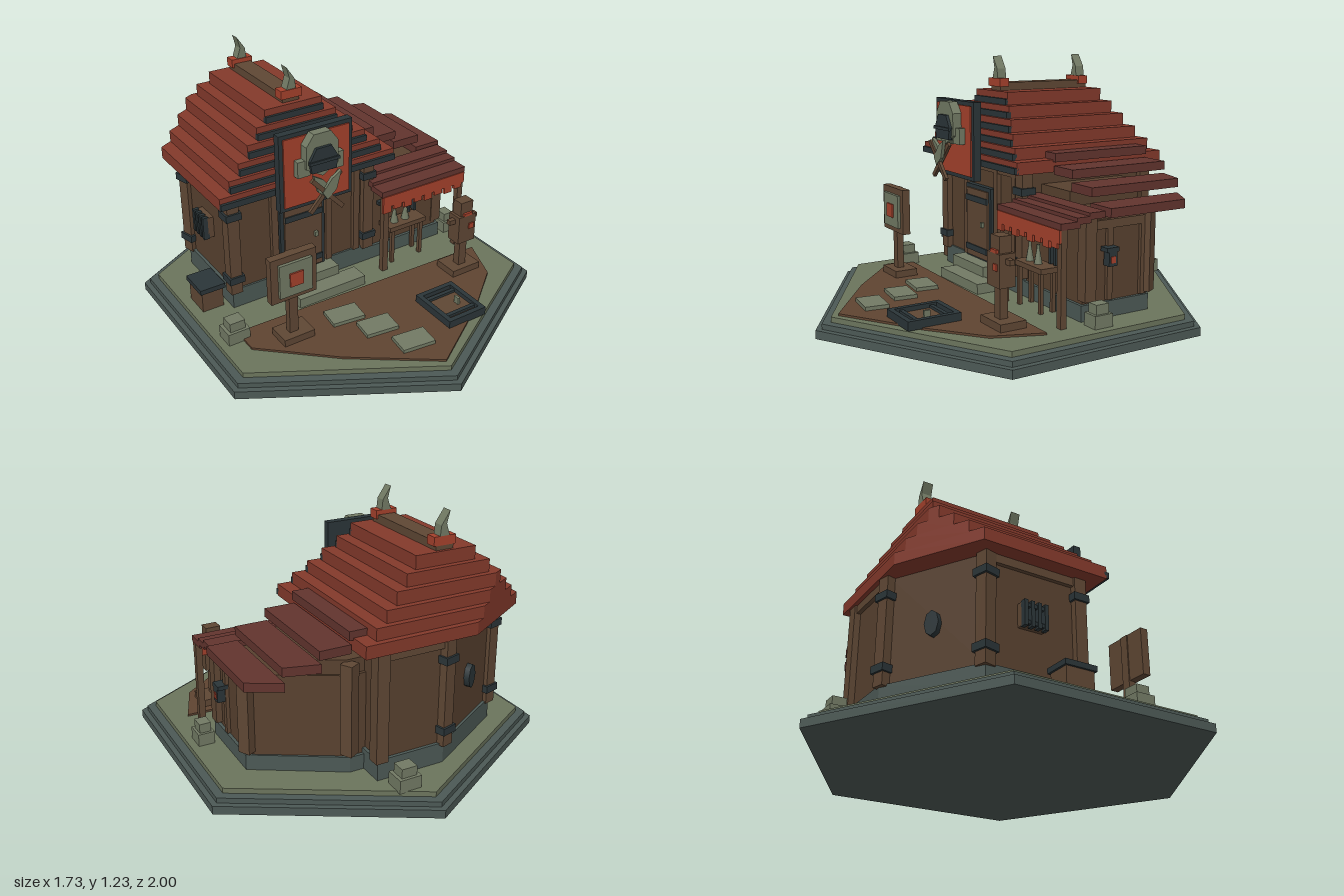
import * as THREE from 'three';

const mat = (name, color) => { const m = new THREE.MeshStandardMaterial({ color }); m.name = name; return m; };

export function createModel() {
  const root = new THREE.Group();
  const slate = mat('slate', 0x4c5955), ground = mat('mossyGround', 0x6b745c), stone = mat('paleStone', 0x727a64);
  const dark = mat('darkIron', 0x2b3538), wood = mat('timber', 0x5f4734), dirt = mat('dirt', 0x5f4431);
  const roofRed = mat('roofRed', 0x83392b), sideRed = mat('sideRoofRed', 0x62342e);
  const red = mat('bannerRed', 0xa5412c), plank = mat('wallPlank', 0x58412f);

  const add = (name, geo, m, parent = root) => {
    const mesh = new THREE.Mesh(geo, m);
    mesh.name = name;
    parent.add(mesh);
    return mesh;
  };
  // Box given by its minimum and maximum on each axis
  const box = (name, m, x0, x1, y0, y1, z0, z1, parent) => {
    const mesh = add(name, new THREE.BoxGeometry(x1 - x0, y1 - y0, z1 - z0), m, parent);
    mesh.position.set((x0 + x1) / 2, (y0 + y1) / 2, (z0 + z1) / 2);
    return mesh;
  };
  const shape = pts => new THREE.Shape(pts.map(p => new THREE.Vector2(p[0], p[1])));
  // Upright prism over a floor plan of [x, z] points
  const slab = (name, m, pts, y0, y1) => {
    const g = new THREE.ExtrudeGeometry(shape(pts.map(([x, z]) => [x, -z])), { depth: y1 - y0, bevelEnabled: false });
    return add(name, g.rotateX(-Math.PI / 2).translate(0, y0, 0), m);
  };
  // Flat plate facing the front
  const plate = (name, m, pts, z0, z1) => {
    const g = new THREE.ExtrudeGeometry(shape(pts), { depth: z1 - z0, bevelEnabled: false });
    return add(name, g.translate(0, 0, z0), m);
  };
  const hex = r => [0, 1, 2, 3, 4, 5].map(i => [r * Math.sin(i * Math.PI / 3), r * Math.cos(i * Math.PI / 3)]);
  // Rectangle with its back left corner cut along a hexagon side
  const cutPlan = (x0, x1, z0, z1, r) => {
    const k = Math.tan(Math.PI / 6), cz = -(r + x0 * k), cx = (-z0 - r) / k;
    return cz > z0 ? [[x0, z1], [x0, cz], [Math.min(cx, x1), z0], [x1, z0], [x1, z1]]
      : [[x0, z1], [x0, z0], [x1, z0], [x1, z1]];
  };

  // Stepped hexagonal base and dirt yard
  slab('baseBottom', slate, hex(1), 0, 0.04);
  slab('baseMiddle', slate, hex(0.97), 0.04, 0.065);
  slab('baseTop', ground, hex(0.925), 0.065, 0.09);
  slab('dirtYard', dirt, [[-0.69, 0.2], [-0.69, 0.34], [-0.38, 0.62], [0, 0.89], [0.38, 0.65], [0.62, 0.46], [0.71, 0.23]], 0.09, 0.1);

  // House walls on stone foundations
  slab('houseFoundation', slate, cutPlan(-0.61, 0.18, -0.73, 0.01, 0.825), 0.09, 0.19);
  slab('houseWalls', plank, cutPlan(-0.595, 0.165, -0.715, 0, 0.81), 0.19, 0.72);
  const wing = o => [[0.16, o], [0.64 + o, o], [0.64 + o, -0.37], [0.25, -0.6 - o], [0.16, -0.6 - o]];
  slab('wingFoundation', slate, wing(0.01), 0.09, 0.165);
  slab('wingWalls', plank, wing(-0.005), 0.165, 0.56);
  slab('wingUpperWall', plank, [[0.16, -0.1], [0.4, -0.1], [0.4, -0.5], [0.25, -0.58], [0.16, -0.58]], 0.55, 0.63);

  // Corner posts with iron bands
  const post = (x, z, ry, y1, banded) => {
    const g = new THREE.Group();
    g.name = 'cornerPost';
    g.position.set(x, 0, z);
    g.rotation.y = ry;
    box('postTimber', wood, -0.03, 0.03, 0.18, y1, -0.03, 0.03, g);
    if (banded) for (const y of [0.26, 0.605]) box('postBand', dark, -0.04, 0.04, y - 0.018, y + 0.018, -0.04, 0.04, g);
    root.add(g);
  };
  post(-0.595, 0, 0, 0.71, true);
  post(0.165, 0, 0, 0.71, true);
  post(-0.595, -0.465, 0.26, 0.71, true);
  post(-0.17, -0.715, 0.26, 0.71, true);
  post(0.165, -0.715, 0, 0.71, false);
  post(0.635, -0.03, 0, 0.56, false);
  post(0.635, -0.365, 0.5, 0.56, false);
  post(0.25, -0.6, 0.5, 0.62, false);
  // Wall beams under the eaves and slim uprights
  box('frontBeam', wood, -0.6, 0.17, 0.66, 0.7, -0.01, 0.02);
  box('leftBeam', wood, -0.615, -0.59, 0.66, 0.7, -0.46, 0);
  box('backBeam', wood, -0.17, 0.165, 0.66, 0.7, -0.735, -0.71);
  for (const x of [-0.39, -0.085, 0.08]) box('wallUpright', wood, x, x + 0.035, 0.19, 0.68, -0.01, 0.022);
  box('sideFrameTop', wood, 0.63, 0.652, 0.5, 0.54, -0.36, -0.03);
  for (const z of [-0.35, -0.16]) box('sideUpright', wood, 0.63, 0.652, 0.17, 0.54, z, z + 0.03);

  // Main roof of shrinking tiers, each with a dark front trim
  const half = [0.475, 0.41, 0.345, 0.28, 0.215, 0.155], tops = [0.76, 0.817, 0.875, 0.937, 0.997, 1.06];
  half.forEach((h, i) => {
    const front = 0.1 - i * 0.029, y1 = tops[i], y0 = i ? tops[i - 1] - 0.004 : 0.7;
    slab('roofTier', roofRed, cutPlan(-0.215 - h, -0.215 + h, -0.755 + i * 0.028, front, 0.93), y0, y1);
    box('roofTrim', dark, -0.215 - h, -0.215 + h, y0 + 0.004, y0 + 0.034, front - 0.01, front + 0.014);
  });
  box('roofRidge', wood, -0.26, -0.17, 1.055, 1.1, -0.6, -0.07);
  for (const z of [-0.6, -0.115]) {
    box('ridgeCap', red, -0.272, -0.16, 1.08, 1.122, z, z + 0.055);
    plate('ridgeHorn', stone, [[-0.24, 1.12], [-0.19, 1.12], [-0.195, 1.17], [-0.237, 1.232], [-0.222, 1.175]], z, z + 0.05);
  }

  // Overlapping planks of the wing roof
  [[0.12, 0.28, 0.75], [0.27, 0.42, 0.69], [0.41, 0.57, 0.63], [0.56, 0.71, 0.56]].forEach(([x0, x1, y], i) => {
    const far = i === 3 ? [[x0, -0.61], [x1, -0.525]] : [[x0, -0.65], [x1, i === 2 ? -0.605 : -0.65]];
    slab('wingRoofPlank', sideRed, [[x0, -0.1], ...far, [x1, -0.1]], y, y + 0.042);
  });

  // Awning with scalloped valance and posts
  [[-0.085, 0.0, 0.56], [-0.01, 0.065, 0.545], [0.05, 0.15, 0.528]].forEach(([z0, z1, y]) =>
    box('awningSlat', sideRed, 0.165, 0.69, y, y + 0.03, z0, z1));
  box('valance', red, 0.17, 0.685, 0.47, 0.53, 0.14, 0.155);
  for (let i = 0; i < 8; i++) {
    const x = 0.17 + i * 0.0645;
    box('valanceFlap', red, x, x + 0.048, i % 2 ? 0.447 : 0.437, 0.47, 0.14, 0.155);
  }
  for (const x of [0.18, 0.655]) box('awningPost', wood, x, x + 0.032, 0.09, 0.53, 0.115, 0.145);

  // Stall table with bottles
  box('tableTop', wood, 0.25, 0.48, 0.28, 0.305, 0.01, 0.11);
  for (const x of [0.265, 0.445]) for (const z of [0.02, 0.085]) box('tableLeg', wood, x, x + 0.02, 0.09, 0.28, z, z + 0.018);
  for (const x of [0.31, 0.38]) {
    add('bottle', new THREE.CylinderGeometry(0.007, 0.022, 0.075, 6), stone).position.set(x, 0.342, 0.06);
    add('bottleNeck', new THREE.CylinderGeometry(0.008, 0.008, 0.02, 6), stone).position.set(x, 0.385, 0.06);
  }
  box('toolRack', dark, 0.24, 0.48, 0.4, 0.42, -0.005, 0.02);
  for (const x of [0.42, 0.46]) box('hangingTool', dark, x, x + 0.015, 0.31, 0.43, 0.0, 0.03);

  // Door with iron frame
  box('doorFrame', dark, -0.35, -0.1, 0.19, 0.575, 0, 0.03);
  box('doorPanel', wood, -0.33, -0.12, 0.2, 0.555, 0.02, 0.04);
  for (const y of [0.23, 0.49]) box('doorBand', dark, -0.33, -0.12, y, y + 0.03, 0.035, 0.047);
  box('doorHandle', stone, -0.167, -0.15, 0.37, 0.395, 0.04, 0.055);
  // Steps and path stones
  box('upperStep', stone, -0.38, -0.06, 0.09, 0.19, 0, 0.1);
  box('lowerStep', stone, -0.34, 0.04, 0.09, 0.14, 0.09, 0.19);
  for (const [x, z] of [[-0.205, 0.37], [-0.12, 0.525], [-0.045, 0.705]]) {
    const s = box('pathStone', stone, -0.083, 0.083, 0.095, 0.118, -0.057, 0.057);
    s.position.x = x; s.position.z = z;
    s.rotation.y = -0.12;
  }

  // Hanging board with a helmet and crossed axes
  box('signFrame', dark, -0.42, -0.03, 0.635, 1.02, 0.125, 0.165);
  box('signPanel', red, -0.4, -0.05, 0.655, 1.0, 0.164, 0.173);
  box('signArm', wood, -0.26, -0.19, 0.72, 0.76, 0.0, 0.13);
  const c = -0.225;
  for (const s of [-1, 1]) box('helmetCheek', stone, c + s * 0.09 - 0.033, c + s * 0.09 + 0.033, 0.81, 0.89, 0.173, 0.205);
  plate('helmet', stone, [[c - 0.085, 0.85], [c - 0.085, 0.96], [c - 0.045, 1.015], [c + 0.045, 1.015], [c + 0.085, 0.96], [c + 0.085, 0.85], [c, 0.8]], 0.173, 0.22);
  plate('helmetFace', dark, [[c - 0.065, 0.83], [c - 0.075, 0.89], [c - 0.04, 0.95], [c + 0.04, 0.95], [c + 0.075, 0.89], [c + 0.065, 0.83]], 0.215, 0.235);
  box('helmetBrow', dark, c - 0.08, c + 0.08, 0.875, 0.89, 0.23, 0.242);
  for (const s of [-1, 1]) {
    const haft = box('axeHaft', wood, -0.011, 0.011, -0.12, 0.12, -0.008, 0.008);
    haft.position.set(c, 0.725, 0.248 + s * 0.009);
    haft.rotation.z = s * 0.75;
    plate('axeBlade', stone, [[c + s * 0.07, 0.83], [c + s * 0.02, 0.8], [c - s * 0.03, 0.74], [c - s * 0.005, 0.7], [c + s * 0.045, 0.74]], 0.245 + s * 0.006, 0.262 + s * 0.006);
  }

  // Practice target
  box('targetBase', wood, -0.56, -0.4, 0.09, 0.135, 0.3, 0.42);
  box('targetPost', wood, -0.51, -0.465, 0.13, 0.56, 0.345, 0.38);
  box('targetBoard', wood, -0.605, -0.37, 0.33, 0.56, 0.35, 0.39);
  box('targetFace', stone, -0.568, -0.4, 0.358, 0.528, 0.389, 0.405);
  box('targetCentre', red, -0.518, -0.45, 0.408, 0.477, 0.404, 0.413);

  // Training dummy
  box('dummyBase', wood, 0.44, 0.61, 0.09, 0.135, 0.27, 0.4);
  box('dummyPost', wood, 0.5, 0.545, 0.13, 0.3, 0.325, 0.365);
  box('dummyBody', wood, 0.47, 0.575, 0.28, 0.43, 0.305, 0.385);
  box('dummyHead', wood, 0.485, 0.56, 0.43, 0.505, 0.315, 0.375);
  box('dummyArms', wood, 0.435, 0.61, 0.385, 0.41, 0.33, 0.355);
  box('dummyMark', red, 0.53, 0.56, 0.355, 0.385, 0.384, 0.392);
  box('dummyBrow', red, 0.5, 0.55, 0.43, 0.445, 0.374, 0.387);

  // Cellar hatch lying in the yard
  box('hatchBoards', wood, 0.17, 0.36, 0.095, 0.115, 0.475, 0.71);
  for (const x of [0.155, 0.35]) box('hatchSide', dark, x, x + 0.025, 0.095, 0.137, 0.46, 0.72);
  for (const z of [0.46, 0.695]) box('hatchEnd', dark, 0.155, 0.375, 0.095, 0.137, z, z + 0.025);
  for (const z of [0.5, 0.65]) box('hatchBand', dark, 0.175, 0.355, 0.11, 0.128, z, z + 0.02);
  box('hatchHandle', stone, 0.295, 0.308, 0.11, 0.15, 0.58, 0.61);

  // Boulders, each of two stacked blocks
  for (const [x, z, w] of [[-0.71, 0.215, 0.055], [0.725, -0.03, 0.04], [0.09, -0.815, 0.055]]) {
    box('boulder', stone, x - w, x + w, 0.085, 0.15, z - 0.048, z + 0.048);
    box('boulderTop', stone, x - w * 0.7, x + w * 0.7, 0.15, 0.195, z - 0.034, z + 0.034);
  }

  // Crate, barred window, wall shield and lantern
  box('crate', wood, -0.75, -0.64, 0.09, 0.195, -0.18, -0.04);
  box('crateLid', dark, -0.76, -0.63, 0.195, 0.22, -0.19, -0.03);
  box('windowPane', wood, -0.625, -0.59, 0.39, 0.5, -0.31, -0.19);
  for (let i = 0; i < 4; i++) box('windowBar', dark, -0.65, -0.62, 0.385, 0.505, -0.31 + i * 0.034, -0.292 + i * 0.034);
  for (const y of [0.395, 0.475]) box('windowRail', dark, -0.645, -0.62, y, y + 0.018, -0.31, -0.19);
  const shield = add('wallShield', new THREE.CylinderGeometry(0.06, 0.06, 0.03, 8).rotateX(Math.PI / 2), dark);
  shield.scale.x = 0.6;
  shield.position.set(-0.388, 0.42, -0.6);
  shield.rotation.y = Math.PI / 6;
  box('lanternArm', dark, 0.64, 0.69, 0.4, 0.42, -0.165, -0.1);
  box('lantern', dark, 0.65, 0.69, 0.335, 0.4, -0.155, -0.11);
  box('lanternGlow', red, 0.655, 0.694, 0.35, 0.38, -0.145, -0.12);

  return root;
}
